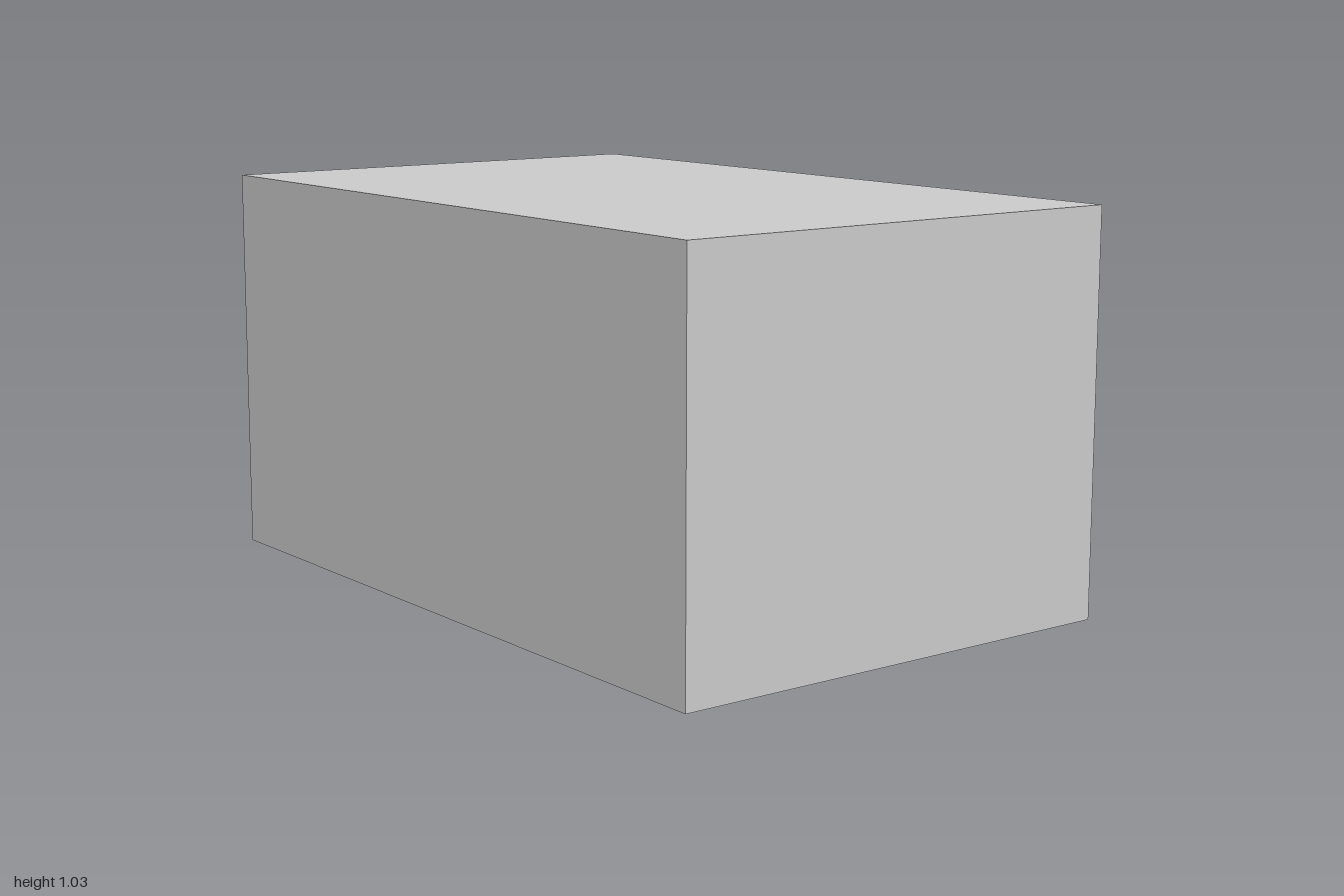
import * as THREE from 'three';
import { RoundedBoxGeometry } from 'three/addons/geometries/RoundedBoxGeometry.js';

const grey = new THREE.MeshStandardMaterial({ color: 0xcccccc });
const red = new THREE.MeshStandardMaterial({ color: 0x8a6267 });

function add(parent, name, geometry, material = grey) {
  const mesh = new THREE.Mesh(geometry, material);
  mesh.name = name;
  parent.add(mesh);
  return mesh;
}

// Box given by its lower and upper limits on each axis
function box(parent, name, [x0, x1], [y0, y1], [z0, z1], material) {
  const mesh = add(parent, name, new THREE.BoxGeometry(x1 - x0, y1 - y0, z1 - z0), material);
  mesh.position.set((x0 + x1) / 2, (y0 + y1) / 2, (z0 + z1) / 2);
  return mesh;
}

function group(parent, name) {
  const g = new THREE.Group();
  g.name = name;
  parent.add(g);
  return g;
}

export function createModel() {
  const model = new THREE.Group();
  model.name = 'bedroom';
  const W = 0.635, H = 1.035, D = 1, floorY = 0.046, ceilingY = 0.995, wall = 0.036;

  // Room shell, open on the +x side
  const room = group(model, 'room');
  box(room, 'floor', [-W, W], [0, floorY], [-D, D]);
  box(room, 'ceiling', [-W, W], [ceilingY, H], [-D, D]);
  box(room, 'frontWall', [-W, W], [floorY, ceilingY], [D - wall, D]);
  box(room, 'backWall', [-W, W], [floorY, ceilingY], [-D, -D + wall]);
  box(room, 'sideWall', [-W, -W + wall], [floorY, ceilingY], [-D + wall, D - wall]);

  // Flat board on the side wall, and the rug
  box(model, 'wallBoard', [-W + wall, -W + wall + 0.015], [0.385, 0.825], [-0.475, 0.305]);
  box(model, 'rug', [-0.255, 0.45], [floorY, 0.053], [-0.475, 0.6]);

  // Desk against the side wall
  const desk = group(model, 'desk');
  box(desk, 'deskTop', [-0.585, -0.265], [0.295, 0.325], [0.415, 0.935]);
  for (const x of [-0.535, -0.315]) {
    for (const z of [0.482, 0.874]) {
      box(desk, 'deskLeg', [x - 0.011, x + 0.011], [floorY, 0.295], [z - 0.011, z + 0.011]);
    }
  }

  // Bed with four round posts, their top rims slightly bevelled
  const bed = group(model, 'bed');
  const postTop = 0.307, r = 0.016;
  const profile = [[0, floorY], [r, floorY], [r, floorY], [r, postTop - 0.004], [r, postTop - 0.004],
    [r - 0.003, postTop], [r - 0.003, postTop], [0, postTop]].map(p => new THREE.Vector2(...p));
  const postGeometry = new THREE.LatheGeometry(profile, 24);
  for (const x of [-0.147, 0.238]) {
    for (const z of [-0.938, -0.367]) {
      add(bed, 'bedPost', postGeometry).position.set(x, 0, z);
    }
  }
  box(bed, 'bedFrame', [-0.157, 0.25], [0.15, 0.168], [-0.922, -0.382]);
  box(bed, 'mattress', [-0.142, 0.235], [0.168, 0.229], [-0.922, -0.382], red);

  // Soft pillow
  const pillow = add(bed, 'pillow', new RoundedBoxGeometry(0.26, 0.046, 0.13, 5, 0.021));
  pillow.position.set(0.052, 0.25, -0.855);

  return model;
}
